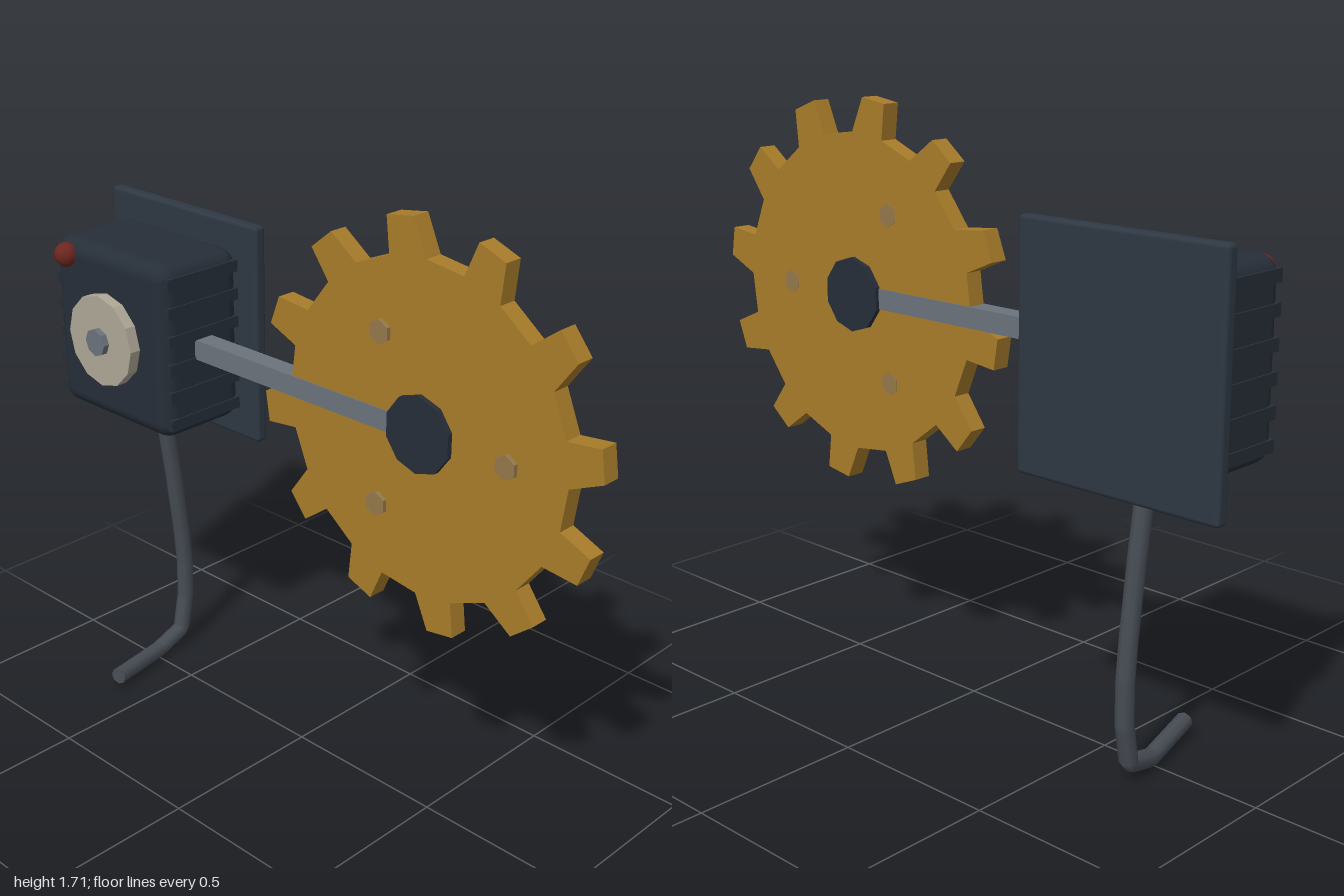
import * as THREE from 'three';
import { RoundedBoxGeometry } from 'three/addons/geometries/RoundedBoxGeometry.js';

const mat = (color, flatShading = true) => new THREE.MeshStandardMaterial({ color, flatShading });
const housingMat = mat(0x262e38, false);
const ribMat = mat(0x262e38);
const plateMat = mat(0x2e3843, false);
const brassMat = mat(0xa87c2a);
const boltMat = mat(0x94794a);
const steelMat = mat(0x6b737b);
const hookMat = mat(0x474d55, false);
const discMat = mat(0xaea797);
const redMat = mat(0x6e2620, false);

export function createModel() {
  const model = new THREE.Group();
  const add = (name, geometry, material, x, y, z, parent = model) => {
    const mesh = new THREE.Mesh(geometry, material);
    mesh.name = name;
    mesh.position.set(x, y, z);
    parent.add(mesh);
    return mesh;
  };
  // Prism whose axis runs along z, with a corner at the top
  const disc = (r, depth, sides) => new THREE.CylinderGeometry(r, r, depth, sides).rotateX(Math.PI / 2);

  const mx = -0.68, cy = 1.15, gx = 0.43, gz = -0.027;

  // Motor housing on its mounting plate
  add('mountingPlate', new RoundedBoxGeometry(0.64, 0.675, 0.04, 2, 0.012), plateMat, mx, 1.152, -0.198);
  add('housing', new RoundedBoxGeometry(0.495, 0.53, 0.3, 3, 0.048), housingMat, mx + 0.002, 1.152, -0.03);

  // Cooling ribs on both sides
  const ribs = new THREE.Group();
  ribs.name = 'coolingRibs';
  model.add(ribs);
  for (const side of [-1, 1]) {
    for (let i = 0; i < 6; i++) {
      add('rib', new THREE.BoxGeometry(0.03, 0.035, 0.27), ribMat, mx + 0.002 + side * 0.238, 0.937 + i * 0.086, -0.03, ribs);
    }
  }

  // Front dial, its centre boss and the indicator lamp
  add('frontDial', disc(0.14, 0.05, 12), discMat, mx, cy, 0.13);
  add('dialBoss', disc(0.042, 0.04, 8), steelMat, mx, cy, 0.154);
  add('indicatorLamp', new THREE.SphereGeometry(0.037, 12, 8), redMat, -0.855, 1.37, 0.125);

  // Drive bar from housing to gear
  add('driveBar', new THREE.BoxGeometry(0.88, 0.06, 0.062), steelMat, 0, cy, gz);

  // Gear with slightly hooked teeth
  const gear = new THREE.Group();
  gear.name = 'gear';
  gear.position.set(gx, cy, gz);
  model.add(gear);
  const outline = [];
  for (let i = 0; i < 12; i++) {
    for (const [step, r] of [[0, 0.47], [0.15, 0.572], [0.45, 0.572], [0.5, 0.47]]) {
      const a = (i + step) * Math.PI / 6;
      outline.push(new THREE.Vector2(r * Math.cos(a), r * Math.sin(a)));
    }
  }
  const wheel = new THREE.ExtrudeGeometry(new THREE.Shape(outline), { depth: 0.055, bevelEnabled: false });
  add('toothedWheel', wheel.translate(0, 0, -0.0275), brassMat, 0, 0, 0, gear);
  add('hub', disc(0.11, 0.085, 10), ribMat, 0, 0, 0, gear);
  for (let i = 0; i < 3; i++) {
    const a = i * Math.PI * 2 / 3;
    add('bolt', disc(0.035, 0.069, 6), boltMat, 0.284 * Math.cos(a), 0.284 * Math.sin(a), 0.006, gear);
  }

  // Bent hook hanging below the housing
  const path = new THREE.CurvePath();
  const points = [
    [mx, 0.87, -0.075], [mx, 0.63, -0.11], [mx, 0.42, -0.135], [mx, 0.3, -0.145],
    [mx, 0.18, -0.143], [-0.678, 0.06, -0.118], [-0.665, 0.032, -0.008], [-0.613, 0.046, 0.208],
  ].map((p) => new THREE.Vector3(...p));
  for (let i = 1; i < points.length; i++) path.add(new THREE.LineCurve3(points[i - 1], points[i]));
  const hook = new THREE.Group();
  hook.name = 'hook';
  model.add(hook);
  add('hookRod', new THREE.TubeGeometry(path, 70, 0.026, 8, false), hookMat, 0, 0, 0, hook);
  for (const [end, next] of [[0, 1], [7, 6]]) {
    const p = points[end];
    const cap = add('hookEnd', new THREE.CircleGeometry(0.026, 8), hookMat, p.x, p.y, p.z, hook);
    cap.lookAt(p.clone().multiplyScalar(2).sub(points[next]));
  }
  return model;
}
